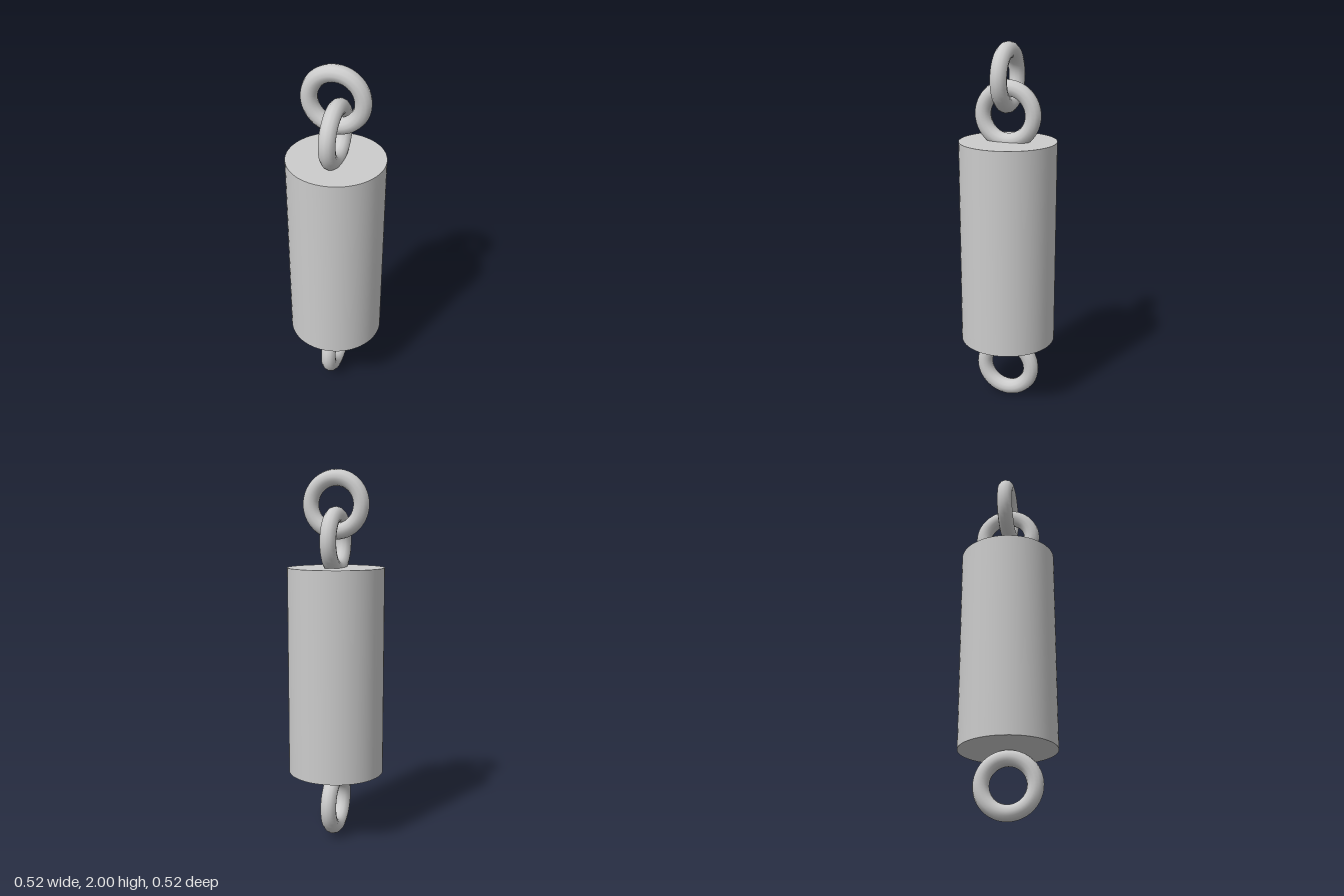
import * as THREE from 'three';

export function createModel() {
  const model = new THREE.Group();
  const material = new THREE.MeshStandardMaterial({ color: 0xcccccc });

  const add = (name, geometry, y, turn = 0) => {
    const mesh = new THREE.Mesh(geometry, material);
    mesh.name = name;
    mesh.position.y = y;
    mesh.rotation.y = turn;
    model.add(mesh);
  };

  // Solid cylindrical weight
  const bottom = 0.364, top = 1.488;
  add('weightBody', new THREE.CylinderGeometry(0.26, 0.26, top - bottom, 64), (top + bottom) / 2);

  // Chain rings: the lower two face sideways, the top one faces front
  const ring = new THREE.TorusGeometry(0.139, 0.0435, 12, 48);
  add('bottomRing', ring, 0.184, Math.PI / 2);
  add('middleRing', ring, 1.626, Math.PI / 2);
  add('topRing', ring, 1.8175);

  return model;
}
